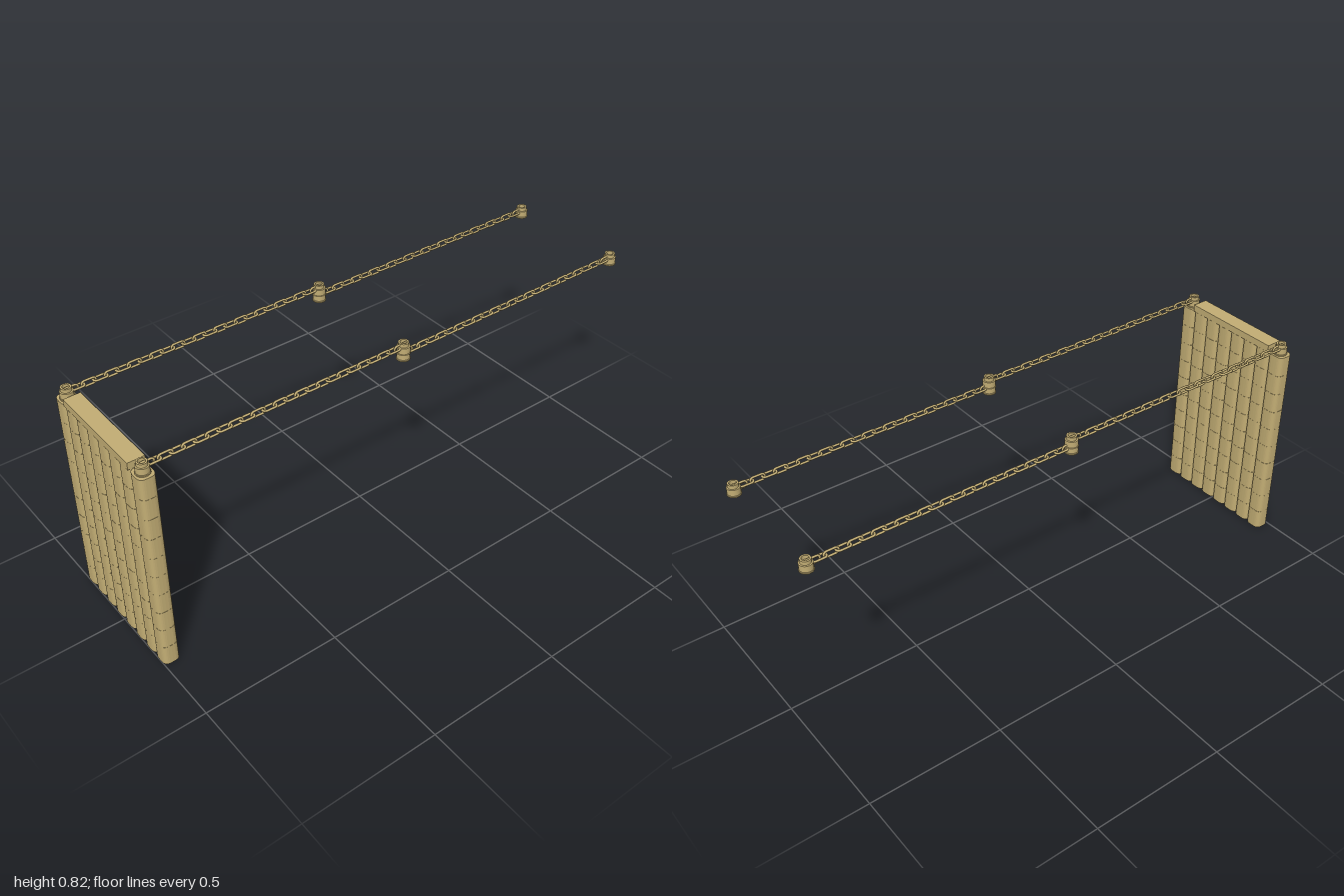
import * as THREE from 'three';

const mat = new THREE.MeshStandardMaterial({ color: 0xc2ad74, side: THREE.DoubleSide });

function add(parent, geometry, name, x = 0, y = 0, z = 0) {
  const mesh = new THREE.Mesh(geometry, mat);
  mesh.name = name;
  mesh.position.set(x, y, z);
  parent.add(mesh);
  return mesh;
}

// Softly squared outline of a hollow column
function outline(a, b, n = 32) {
  const soft = (v) => Math.sign(v) * Math.abs(v) ** 0.6;
  return Array.from({ length: n }, (_, i) => {
    const t = (i / n) * Math.PI * 2;
    return new THREE.Vector2(a * soft(Math.cos(t)), b * soft(Math.sin(t)));
  });
}

function tubeBlock(height) {
  const shape = new THREE.Shape(outline(0.0325, 0.03));
  shape.holes.push(new THREE.Path(outline(0.027, 0.0245)));
  const g = new THREE.ExtrudeGeometry(shape, { depth: height, bevelEnabled: false });
  return g.rotateX(-Math.PI / 2);
}

// Hollow stepped stud with a wide base and a narrower neck
function studGeometry() {
  const profile = [
    [0.018, 0], [0.024, 0], [0.024, 0.004], [0.0225, 0.006], [0.0225, 0.028],
    [0.018, 0.029], [0.018, 0.042], [0.012, 0.042], [0.012, 0.028], [0.018, 0.024], [0.018, 0],
  ].map(([x, y]) => new THREE.Vector2(x, y));
  // Separate each straight run so that the steps stay crisp
  const crisp = profile.flatMap((p, i) => (i ? [p.clone(), p.clone()] : [p]));
  return new THREE.LatheGeometry(crisp, 24);
}

// Oval chain link lying flat, long axis along z
function linkGeometry() {
  const wire = 0.004, r = 0.0105, half = 0.0145;
  const path = new THREE.CurvePath();
  const pts = [];
  for (let i = 0; i < 16; i++) {
    const t = (i / 15) * Math.PI;
    pts.push(new THREE.Vector3(r * Math.cos(t), 0, half + r * Math.sin(t)));
  }
  for (let i = 0; i < 16; i++) {
    const t = Math.PI + (i / 15) * Math.PI;
    pts.push(new THREE.Vector3(r * Math.cos(t), 0, -half + r * Math.sin(t)));
  }
  pts.forEach((p, i) => path.add(new THREE.LineCurve3(p, pts[(i + 1) % pts.length])));
  const loop = new THREE.CatmullRomCurve3(path.getSpacedPoints(36).slice(0, -1), true);
  return new THREE.TubeGeometry(loop, 32, wire, 8, true);
}

export function createModel() {
  const model = new THREE.Group();
  model.name = 'chainBridgeEnd';

  // Wall of eight hollow columns, each stacked from ten blocks
  const wall = new THREE.Group();
  wall.name = 'columnWall';
  model.add(wall);
  const rows = 10, rowHeight = 0.0775;
  const block = tubeBlock(rowHeight - 0.0006);
  for (let c = 0; c < 8; c++) {
    const column = new THREE.Group();
    column.name = 'column';
    column.position.set(-0.2275 + c * 0.065, 0, 0.97);
    wall.add(column);
    for (let r = 0; r < rows; r++) add(column, block, 'columnBlock', 0, r * rowHeight, 0);
    // Lid under the cap board
    const lid = new THREE.ShapeGeometry(new THREE.Shape(outline(0.0325, 0.03)));
    add(column, lid.rotateX(-Math.PI / 2), 'columnLid', 0, rows * rowHeight, 0);
  }
  add(model, new THREE.BoxGeometry(0.388, 0.026, 0.06), 'capBoard', 0, 0.788, 0.97);

  // Studs and two chain runs on each side
  const stud = studGeometry();
  const link = linkGeometry();
  for (const x of [-0.2275, 0.2275]) {
    add(model, stud, 'frontStud', x, 0.775, 0.97);
    add(model, stud, 'middleLowerStud', x, 0.753, 0);
    add(model, stud, 'middleUpperStud', x, 0.775, 0);
    add(model, stud, 'backStud', x, 0.753, -0.976);
    for (const [dir, y] of [[1, 0.8], [-1, 0.775]]) {
      const chain = new THREE.Group();
      chain.name = dir > 0 ? 'frontChain' : 'backChain';
      chain.position.set(x, y, 0);
      model.add(chain);
      for (let i = 0; i < 23; i++) {
        const m = add(chain, link, 'chainLink', 0, 0, dir * (0.0425 + i * 0.0405));
        if (i % 2) m.rotation.z = Math.PI / 2;
      }
      // End rings reaching into the studs
      for (const z of [0.012, 0.955]) add(chain, link, 'endLink', 0, 0, dir * z).rotation.z = Math.PI / 2;
    }
  }
  return model;
}
